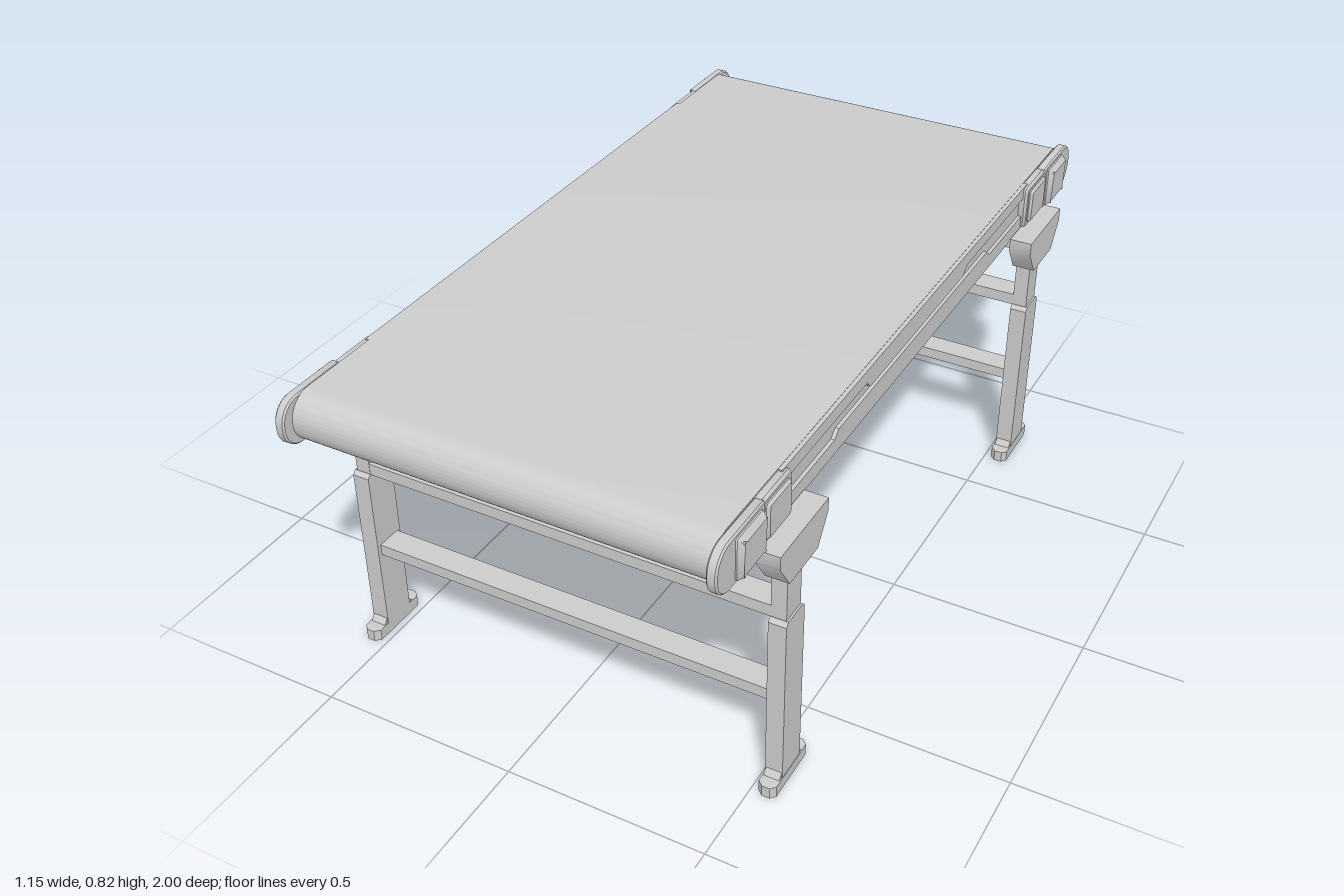
import * as THREE from 'three';
import { toCreasedNormals } from 'three/addons/utils/BufferGeometryUtils.js';

const grey = new THREE.MeshStandardMaterial({ color: 0xcccccc });

function add(parent, name, geometry) {
  const mesh = new THREE.Mesh(geometry, grey);
  mesh.name = name;
  parent.add(mesh);
  return mesh;
}

// Box given by its limits on each axis
function box(parent, name, [x0, x1], [y0, y1], [z0, z1]) {
  const mesh = add(parent, name, new THREE.BoxGeometry(x1 - x0, y1 - y0, z1 - z0));
  mesh.position.set((x0 + x1) / 2, (y0 + y1) / 2, (z0 + z1) / 2);
  return mesh;
}

// Side profile (z, y) extruded across x from x0 to x1, with an optional bevel
function slab(parent, name, shape, x0, x1, bevel = 0) {
  const geo = new THREE.ExtrudeGeometry(shape, {
    depth: x1 - x0 - 2 * bevel, bevelEnabled: bevel > 0, bevelThickness: bevel,
    bevelSize: bevel, bevelOffset: -bevel, bevelSegments: 1, curveSegments: 10,
  });
  geo.rotateY(-Math.PI / 2);
  geo.translate(x1 - bevel, 0, 0);
  return add(parent, name, toCreasedNormals(geo, 0.6));
}

const polygon = (points) => new THREE.Shape(points.map(([z, y]) => new THREE.Vector2(z, y)));

// Rectangle with separate corner radii at its low-z and high-z ends
function rounded(z0, z1, y0, y1, r0, r1 = r0) {
  const s = new THREE.Shape();
  s.moveTo(z0 + r0, y0);
  s.lineTo(z1 - r1, y0);
  s.absarc(z1 - r1, y0 + r1, r1, -Math.PI / 2, 0);
  s.lineTo(z1, y1 - r1);
  s.absarc(z1 - r1, y1 - r1, r1, 0, Math.PI / 2);
  s.lineTo(z0 + r0, y1);
  s.absarc(z0 + r0, y1 - r0, r0, Math.PI / 2, Math.PI);
  s.lineTo(z0, y0 + r0);
  s.absarc(z0 + r0, y0 + r0, r0, Math.PI, Math.PI * 1.5);
  return s;
}

// Everything along the +x side; it is the same front to back
function createSide() {
  const side = new THREE.Group();

  // Side rail: recessed web with stepped strips above and below
  box(side, 'railWeb', [0.495, 0.507], [0.71, 0.815], [-0.82, 0.82]);
  slab(side, 'upperRailStrip', polygon([
    [-0.7, 0.823], [-0.7, 0.79], [-0.29, 0.79], [-0.27, 0.77],
    [0.27, 0.77], [0.29, 0.79], [0.7, 0.79], [0.7, 0.823],
  ]), 0.495, 0.516);
  slab(side, 'lowerRailStrip', polygon([
    [-0.7, 0.702], [0.7, 0.702], [0.7, 0.74], [0.45, 0.74], [0.43, 0.757],
    [-0.43, 0.757], [-0.45, 0.74], [-0.7, 0.74],
  ]), 0.495, 0.516);

  for (const s of [1, -1]) {
    const span = (a, b) => (s > 0 ? [a, b] : [-b, -a]);

    // Roller end plate with a round nose, and its two covers
    const nose = s > 0 ? [0.005, 0.055] : [0.055, 0.005];
    slab(side, 'endPlate', rounded(...span(0.8, 1), 0.703, 0.823, ...nose), 0.505, 0.53, 0.004);
    slab(side, 'bearingCover', rounded(...span(0.815, 0.925), 0.71, 0.813, 0.006), 0.51, 0.546, 0.012);
    slab(side, 'clampCover', rounded(...span(0.675, 0.808), 0.705, 0.82, 0.012), 0.5, 0.527, 0.006);
    slab(side, 'clampPad', rounded(...span(0.69, 0.795), 0.717, 0.808, 0.01), 0.51, 0.536, 0.006);

    // Tapered bracket that carries the frame
    const c = 0.71 * s;
    slab(side, 'legBracket', polygon([
      [c - 0.11, 0.71], [c - 0.11, 0.677], [c - 0.065, 0.61],
      [c + 0.065, 0.61], [c + 0.11, 0.677], [c + 0.11, 0.71],
    ]), 0.518, 0.575);

    // Telescopic leg
    box(side, 'upperLeg', [0.518, 0.555], [0.46, 0.64], [c - 0.033, c + 0.033]);
    slab(side, 'lowerLeg', polygon([
      [c - 0.043, 0.02], [c + 0.043, 0.02], [c + 0.043, 0.467], [c + 0.034, 0.477],
      [c - 0.034, 0.477], [c - 0.043, 0.467],
    ]), 0.517, 0.56);

    // Foot with clipped corners, on a weld collar
    const foot = [[0.53, 0.085], [0.55, 0.085], [0.561, 0.073], [0.561, -0.073],
      [0.55, -0.085], [0.53, -0.085], [0.517, -0.073], [0.517, 0.073]];
    const geo = new THREE.ExtrudeGeometry(polygon(foot), { depth: 0.03, bevelEnabled: false });
    geo.rotateX(-Math.PI / 2);
    add(side, 'foot', geo).position.z = c;
    slab(side, 'footCollar', polygon([
      [c - 0.055, 0.029], [c + 0.055, 0.029], [c + 0.043, 0.045], [c - 0.043, 0.045],
    ]), 0.519, 0.558);
  }
  return side;
}

export function createModel() {
  const model = new THREE.Group();
  model.name = 'conveyorTable';

  // Belt wrapped round both rollers
  slab(model, 'belt', rounded(-0.972, 0.972, 0.7, 0.824, 0.061), -0.506, 0.506);

  // Mirrored sides
  for (const [name, turn] of [['leftSide', 0], ['rightSide', Math.PI]]) {
    const side = createSide();
    side.name = name;
    side.rotation.y = turn;
    model.add(side);
  }

  // Cross members between each pair of legs
  for (const z of [0.71, -0.71]) {
    const depth = [z - 0.032, z + 0.032];
    box(model, 'topBeam', [-0.52, 0.52], [0.64, 0.702], depth);
    box(model, 'upperCrossbar', [-0.52, 0.52], [0.475, 0.505], depth);
    box(model, 'lowerCrossbar', [-0.52, 0.52], [0.238, 0.267], depth);
  }
  return model;
}
